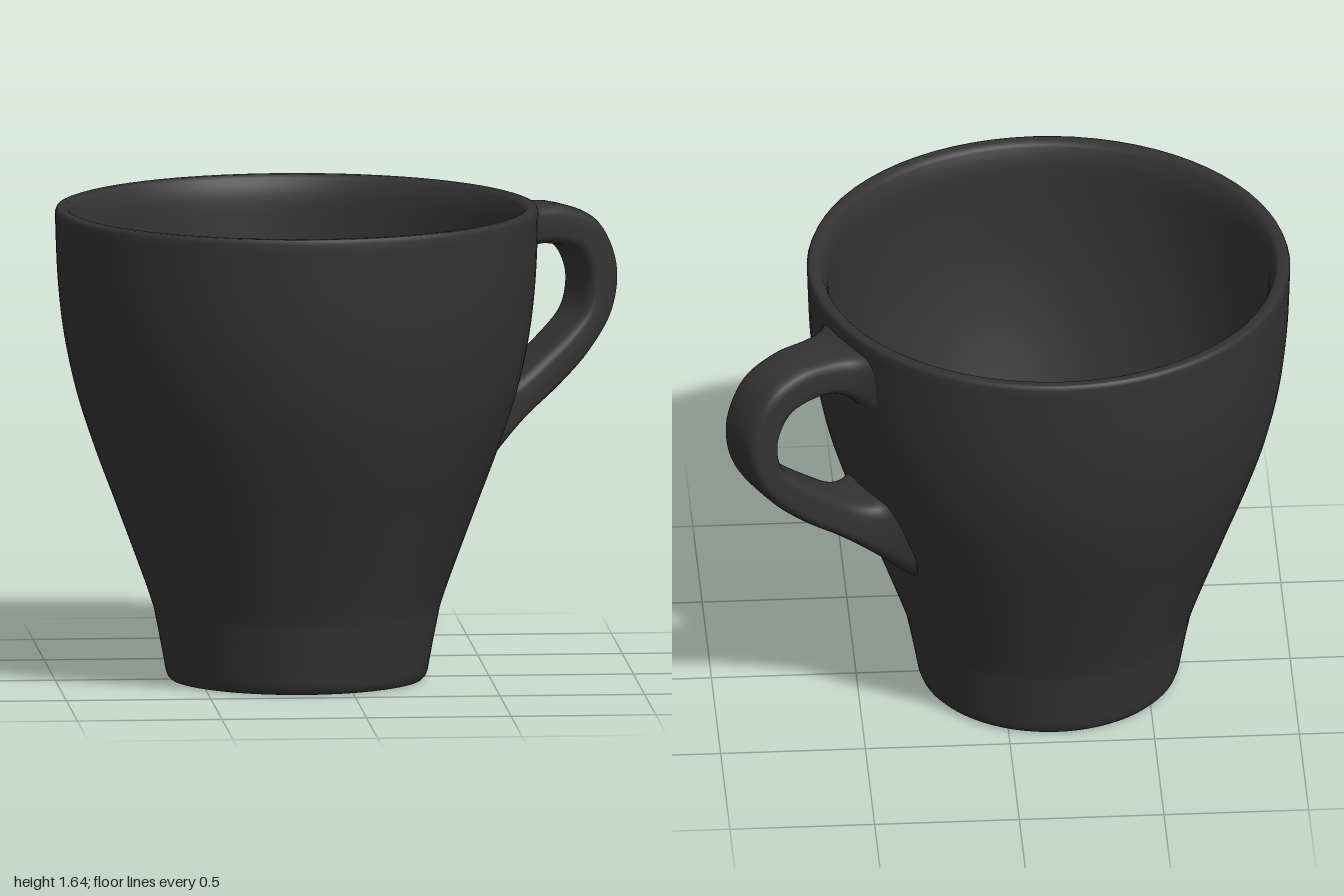
import * as THREE from 'three';

const v2 = (p) => new THREE.Vector2(p[0], p[1]);
const spline = (pts, n) => new THREE.SplineCurve(pts.map(v2)).getPoints(n);

// Loft of rounded-square sections; each station is [outer r, outer y, inner r, inner y, half width]
function loftHandle(stations, steps, sides) {
  const outer = new THREE.SplineCurve(stations.map((s) => v2([s[0], s[1]])));
  const inner = new THREE.SplineCurve(stations.map((s) => v2([s[2], s[3]])));
  const width = new THREE.SplineCurve(stations.map((s, i) => v2([i, s[4]])));
  const round = (t) => Math.sign(t) * Math.sqrt(Math.abs(t));
  const pos = [], idx = [];
  for (let i = 0; i <= steps; i++) {
    const t = i / steps;
    const o = outer.getPoint(t), n = inner.getPoint(t), w = width.getPoint(t).y;
    for (let j = 0; j < sides; j++) {
      const a = (j / sides) * Math.PI * 2;
      const k = 0.5 + 0.5 * round(Math.cos(a));
      pos.push(n.x + (o.x - n.x) * k, n.y + (o.y - n.y) * k, w * round(Math.sin(a)));
      if (i < steps) {
        const p = i * sides + j, q = i * sides + ((j + 1) % sides);
        idx.push(p, p + sides, q, q, p + sides, q + sides);
      }
    }
  }
  const g = new THREE.BufferGeometry();
  g.setAttribute('position', new THREE.Float32BufferAttribute(pos, 3));
  g.setIndex(idx);
  g.computeVertexNormals();
  return g;
}

export function createModel() {
  const model = new THREE.Group();
  model.name = 'cup';
  model.position.x = -0.165;
  const root = new THREE.Group();
  root.add(model);
  const material = new THREE.MeshStandardMaterial({ color: 0x333333 });
  const handleMaterial = new THREE.MeshStandardMaterial({ color: 0x333333, side: THREE.DoubleSide });

  // Cup body: flat base, curved outside, rounded rim, curved inside and floor
  const outside = spline([
    [0.452, 0.03], [0.484, 0.2], [0.51, 0.3], [0.62, 0.6], [0.695, 0.8],
    [0.76, 1.0], [0.803, 1.2], [0.825, 1.4], [0.834, 1.625],
  ], 40);
  const inside = spline([
    [0.785, 1.63], [0.762, 1.56], [0.752, 1.4], [0.73, 1.2], [0.685, 1.0],
    [0.62, 0.8], [0.545, 0.6], [0.46, 0.33], [0.42, 0.2], [0.37, 0.13], [0.3, 0.11],
  ], 44);
  const profile = [
    v2([0, 0]), v2([0.425, 0]), v2([0.435, 0.002]), v2([0.445, 0.012]),
    ...outside, v2([0.829, 1.638]), v2([0.82, 1.641]), v2([0.797, 1.641]),
    ...inside, v2([0, 0.11]),
  ];
  const body = new THREE.Mesh(new THREE.LatheGeometry(profile, 72), material);
  body.name = 'cupBody';
  model.add(body);

  // Handle: flat-sided ear whose ends flare into the wall
  const handle = new THREE.Mesh(loftHandle([
    [0.79, 1.6, 0.79, 1.33, 0.2],
    [0.85, 1.585, 0.85, 1.4, 0.14],
    [0.93, 1.583, 0.92, 1.44, 0.11],
    [1.06, 1.575, 1.01, 1.44, 0.102],
    [1.19, 1.51, 1.095, 1.41, 0.102],
    [1.262, 1.36, 1.14, 1.32, 0.102],
    [1.243, 1.2, 1.125, 1.21, 0.102],
    [1.15, 1.06, 1.05, 1.13, 0.102],
    [1.03, 0.95, 0.93, 1.04, 0.102],
    [0.89, 0.85, 0.835, 0.98, 0.11],
    [0.77, 0.755, 0.755, 0.965, 0.14],
    [0.62, 0.62, 0.71, 1.0, 0.18],
  ], 66, 28), handleMaterial);
  handle.name = 'handle';
  handle.rotation.y = THREE.MathUtils.degToRad(28);
  model.add(handle);

  return root;
}
